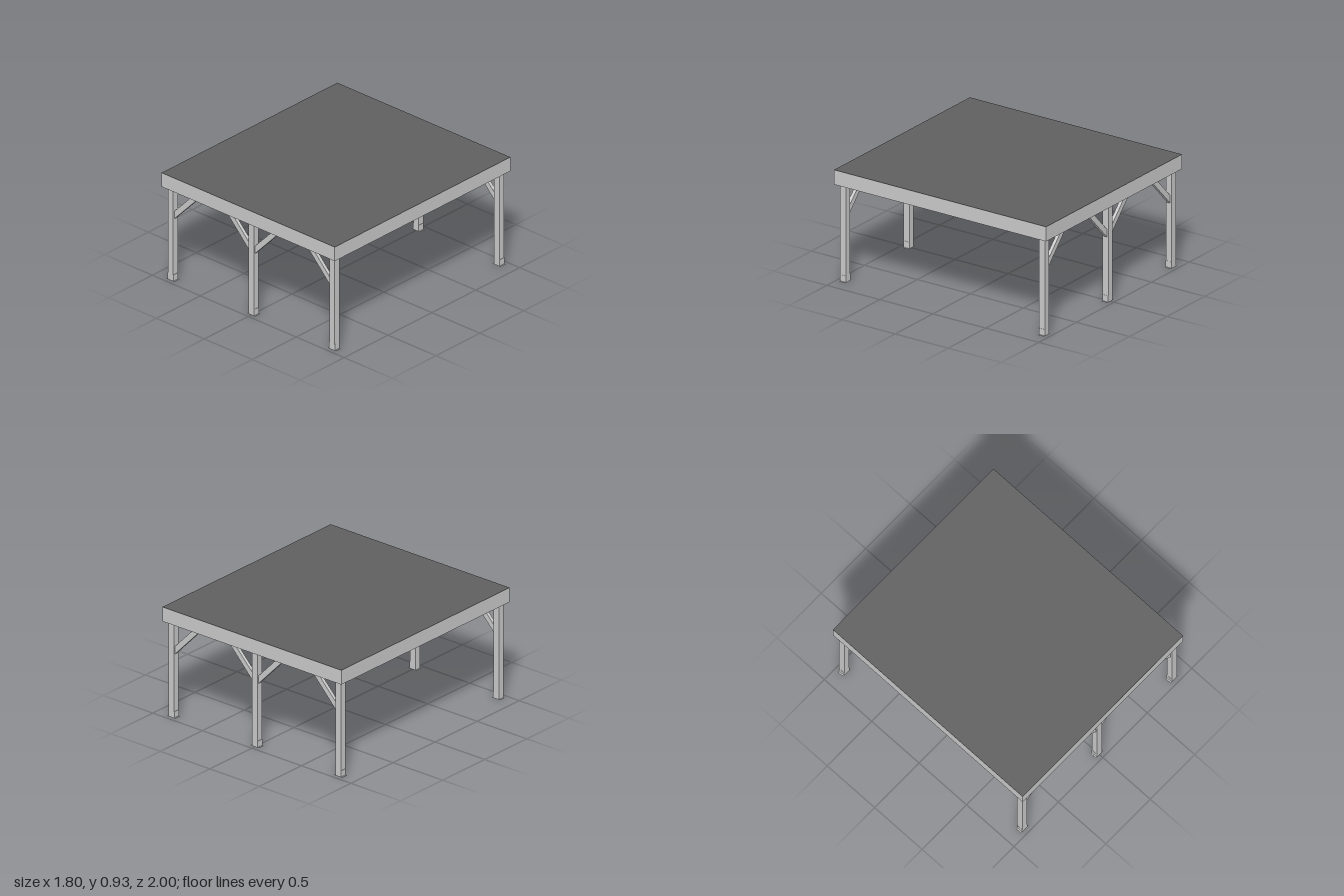
import * as THREE from 'three';

const POST = 0.055, UNDERSIDE = 0.806, TOP = 0.926;
const POST_X = [-0.842, 0, 0.842];
const ROW_Z = 0.938;

export function createModel() {
  const model = new THREE.Group();
  const grey = new THREE.MeshStandardMaterial({ color: 0xcccccc, flatShading: true });
  const dark = new THREE.MeshStandardMaterial({ color: 0x606060, flatShading: true });

  const box = (name, parent, w, h, d, x, y, z, material = grey) => {
    const mesh = new THREE.Mesh(new THREE.BoxGeometry(w, h, d), material);
    mesh.name = name;
    mesh.position.set(x, y, z);
    parent.add(mesh);
  };

  // Flat roof with deep fascia, covered by a thin dark sheet
  box('roof', model, 1.805, TOP - UNDERSIDE, 2, 0, (UNDERSIDE + TOP) / 2, 0);
  box('roofCovering', model, 1.805, 0.002, 2, 0, TOP + 0.001, 0, dark);

  // Diagonal brace: cut upright at the post and level under the roof
  const braceDepth = 0.028;
  const braceShape = new THREE.Shape([
    [0, 0.54], [0.254, UNDERSIDE], [0.192, UNDERSIDE], [0, 0.605],
  ].map(([x, y]) => new THREE.Vector2(x, y)));
  const braceGeometry = new THREE.ExtrudeGeometry(braceShape, { depth: braceDepth, bevelEnabled: false });
  braceGeometry.translate(0, 0, -braceDepth / 2);

  for (const z of [ROW_Z, -ROW_Z]) {
    const row = new THREE.Group();
    row.name = z > 0 ? 'frontPostRow' : 'backPostRow';
    row.position.z = z;
    model.add(row);

    for (const x of POST_X) {
      box('post', row, POST, UNDERSIDE, POST, x, UNDERSIDE / 2, 0);

      // Foot plate with a low upright flange on each side of the post
      box('footPlate', row, 0.082, 0.003, POST, x, 0.0015, 0);
      for (const side of [-1, 1]) {
        box('footFlange', row, 0.003, 0.055, POST, x + side * (POST / 2 + 0.0005), 0.0275, 0);

        // Braces only point inward from the outer posts
        if (x * side > 0) continue;
        const brace = new THREE.Mesh(braceGeometry, grey);
        brace.name = 'brace';
        brace.position.x = x + side * POST / 2;
        if (side < 0) brace.rotation.y = Math.PI;
        row.add(brace);
      }
    }
  }
  return model;
}
